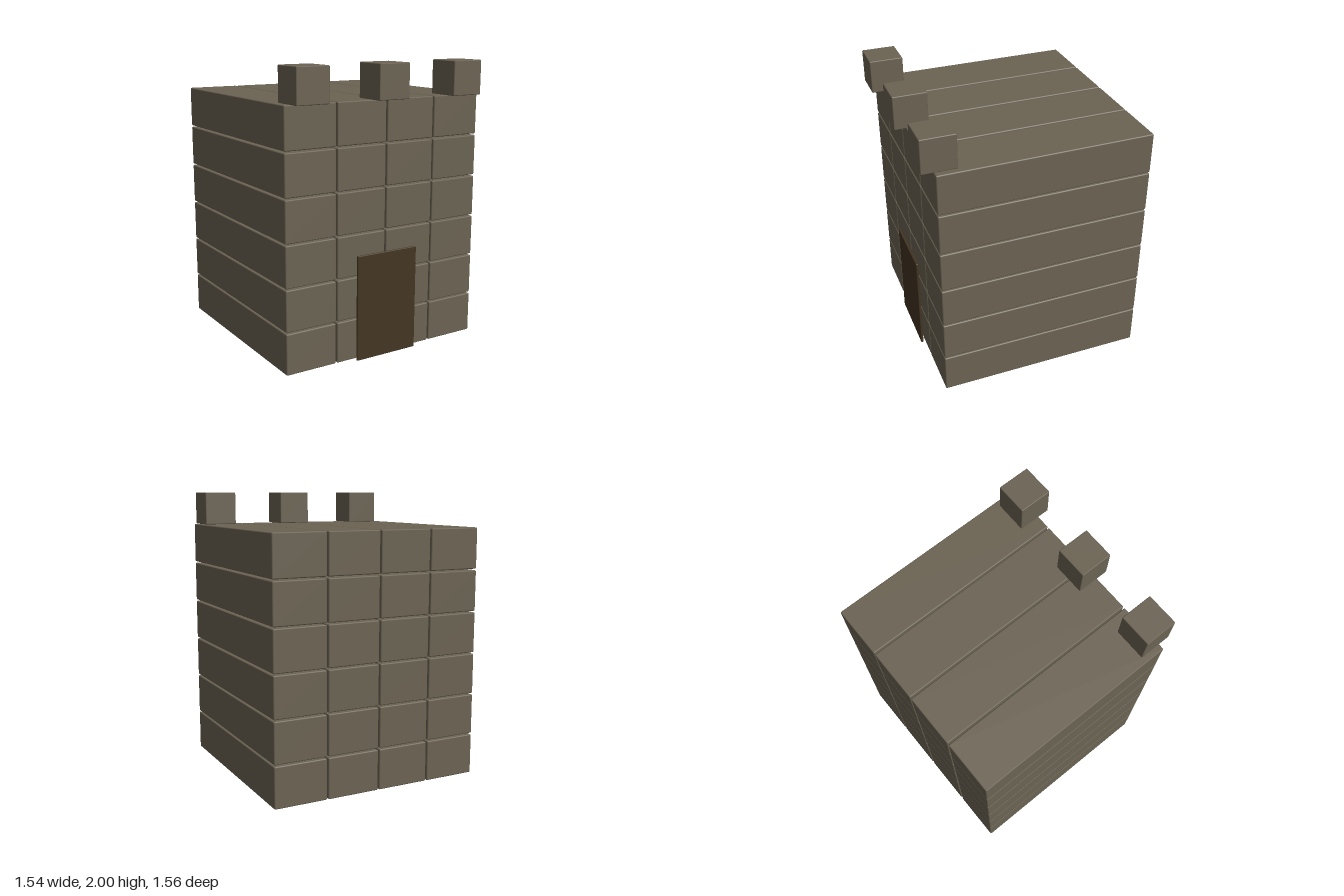
import * as THREE from 'three';
import { RoundedBoxGeometry } from 'three/addons/geometries/RoundedBoxGeometry.js';

export function createModel() {
  const model = new THREE.Group();
  model.name = 'tower';

  const stone = new THREE.MeshStandardMaterial({ color: 0x6b6353 });
  stone.name = 'stone';
  const wood = new THREE.MeshStandardMaterial({ color: 0x443522 });
  wood.name = 'dark wood';

  const add = (parent, name, geometry, material, x, y, z) => {
    const mesh = new THREE.Mesh(geometry, material);
    mesh.name = name;
    mesh.position.set(x, y, z);
    parent.add(mesh);
  };

  // Walls: six courses of four long beams, with narrow gaps between them
  const walls = new THREE.Group();
  walls.name = 'walls';
  model.add(walls);
  const beam = new RoundedBoxGeometry(0.376, 0.284, 1.474, 1, 0.008);
  for (let row = 0; row < 6; row++) {
    for (let col = 0; col < 4; col++) {
      add(walls, 'stoneBeam', beam, stone, (col - 1.5) * 0.387, 0.15 + row * 0.2945, -0.041);
    }
  }

  // Battlements: three cubes overhanging the front edge
  const battlements = new THREE.Group();
  battlements.name = 'battlements';
  model.add(battlements);
  const cube = new RoundedBoxGeometry(0.236, 0.236, 0.236, 1, 0.006);
  for (const x of [-0.608, 0, 0.608]) add(battlements, 'merlon', cube, stone, x, 1.882, 0.66);

  // Door: a thin slab standing just in front of the wall
  add(model, 'door', new RoundedBoxGeometry(0.482, 0.74, 0.018, 1, 0.006), wood, 0, 0.37, 0.717);

  return model;
}
